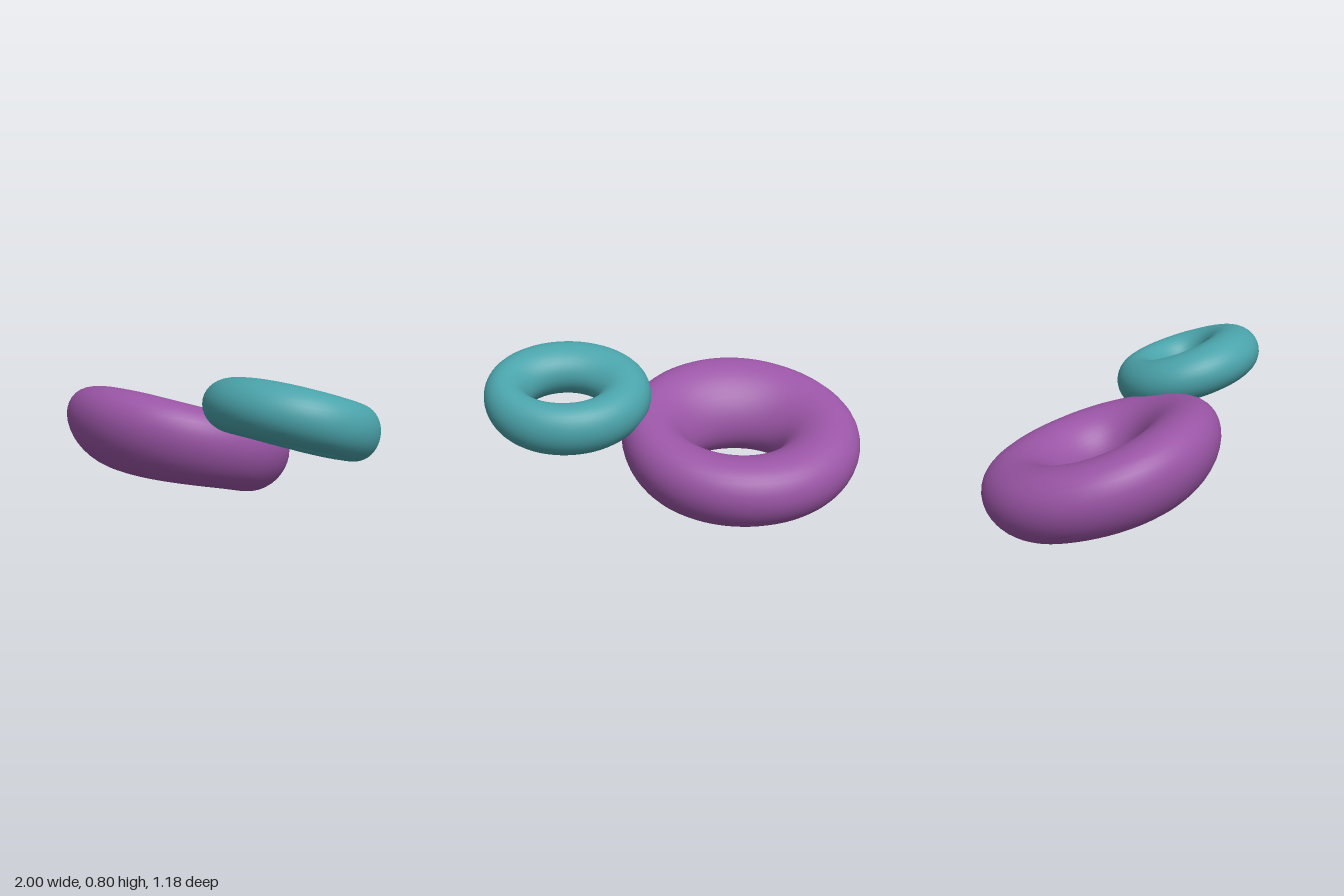
import * as THREE from 'three';
import { mergeVertices } from 'three/addons/utils/BufferGeometryUtils.js';

// Ring with an oval path and a cross-section that changes along it.
// path: half-widths in x and z, and how far the front rises
// tube: half-widths in x and z
// height: half-heights of the tube at front, back and sides
// dip: how far the inner edge drops on average, and how much more at the front
// hole: shift of the hole in x and z
function makeRing({ name, color, center, path, tube, height, dip, hole }) {
  const geo = new THREE.TorusGeometry(1, 0.4, 36, 80);
  const pos = geo.attributes.position;
  const uv = geo.attributes.uv;
  for (let i = 0; i < pos.count; i++) {
    const around = -uv.getX(i) * Math.PI * 2;
    const section = uv.getY(i) * Math.PI * 2;
    const out = Math.cos(section), up = Math.sin(section);
    const side = Math.cos(around), front = Math.sin(around);
    const end = front > 0 ? height.front : height.back;
    const half = height.side * side * side + end * front * front;
    const inner = (1 - out) / 2;
    pos.setXYZ(
      i,
      (path.x + tube.x * out) * side + hole.x * inner,
      path.rise * front + (dip.mean + dip.front * front) * out + half * up,
      (path.z + tube.z * out) * front + hole.z * inner
    );
  }
  // Weld the seams so the shading is smooth all round
  geo.deleteAttribute('uv');
  geo.deleteAttribute('normal');
  const welded = mergeVertices(geo, 1e-5);
  welded.computeVertexNormals();
  const mesh = new THREE.Mesh(welded, new THREE.MeshStandardMaterial({ color }));
  mesh.name = name;
  mesh.position.set(...center);
  return mesh;
}

export function createModel() {
  const group = new THREE.Group();
  group.name = 'joinedRings';

  // Large purple ring, rising and thickening towards the front
  group.add(makeRing({
    name: 'largeRing', color: 0x9a55a5, center: [-0.356, 0.298, -0.002],
    path: { x: 0.445, z: 0.378, rise: 0.112 },
    tube: { x: 0.2, z: 0.211, },
    height: { front: 0.23, back: 0.185, side: 0.2 },
    dip: { mean: 0.05, front: 0.03 },
    hole: { x: 0.03, z: -0.015 }
  }));

  // Small teal ring, higher up and touching the large one
  group.add(makeRing({
    name: 'smallRing', color: 0x4aa3aa, center: [0.555, 0.573, 0.139],
    path: { x: 0.31, z: 0.257, rise: 0.091 },
    tube: { x: 0.131, z: 0.139 },
    height: { front: 0.137, back: 0.137, side: 0.138 },
    dip: { mean: 0.01, front: 0 },
    hole: { x: 0.025, z: -0.035 }
  }));

  return group;
}
